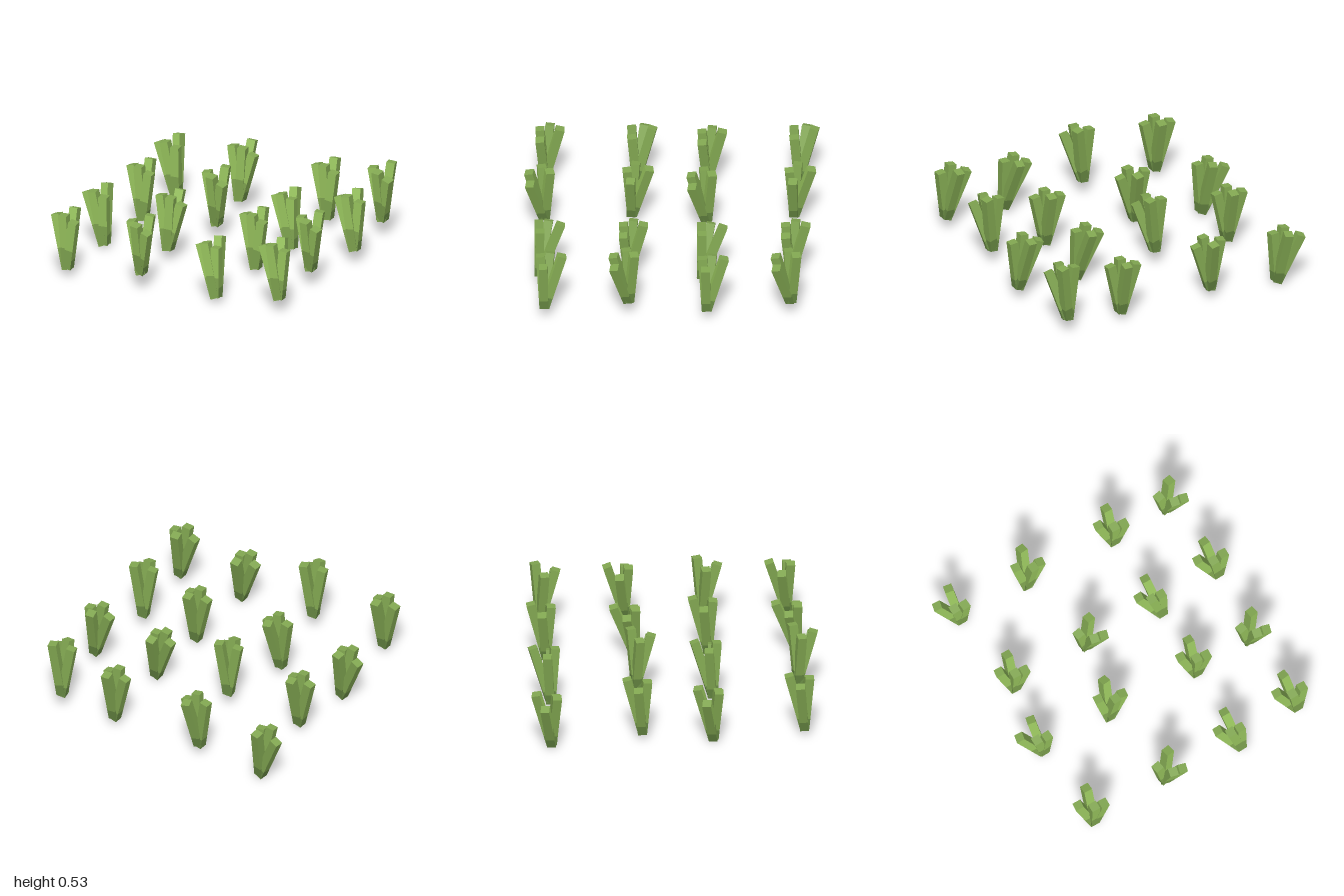
import * as THREE from 'three';

const STALK_WIDTH = 0.06;
const BANDS = 5; // colour bands along a stalk

// distance from the root point to the lower end and to the tip of each stalk
const STALKS = [
  { name: 'backStalk', start: 0.012, tip: 0.425 },
  { name: 'leftStalk', start: 0, tip: 0.39 },
  { name: 'frontStalk', start: 0.012, tip: 0.4 },
  { name: 'rightStalk', start: 0.012, tip: 0.365 },
];

// how far each tip leans from the root, and its twist [x, z, twist], in the order of STALKS
const LEANS = {
  leftBack: [[-0.035, -0.11, -0.22], [-0.155, -0.057, -0.2], [-0.07, 0.032, 0], [0.01, 0.032, 0.08]],
  right: [[0.035, -0.12, 0.14], [-0.065, -0.028, -0.12], [0.037, 0.032, 0.08], [0.105, 0.008, -0.1]],
  upright: [[0.004, -0.105, 0], [-0.1, -0.035, -0.1], [-0.014, 0.034, 0], [0.062, 0.034, 0]],
  forward: [[0.052, -0.035, 0.2], [-0.062, 0.02, 0.15], [0.013, 0.105, -0.18], [0.09, 0.1, -0.2]],
  back: [[-0.045, -0.148, -0.05], [-0.145, -0.065, -0.1], [-0.08, 0, 0], [-0.003, -0.006, 0]],
  left: [[-0.037, -0.122, 0.08], [-0.135, -0.042, -0.1], [-0.05, 0.025, 0], [0.04, 0.005, 0]],
};

// root position x, y, z and lean of each clump in one double row
const ROWS = [
  { shiftX: 0, clumps: [
    [-0.77, 0.015, -0.86, 'leftBack'], [-0.275, 0.07, -0.83, 'right'],
    [0.4, 0.05, -0.81, 'upright'], [0.81, 0.105, -0.815, 'forward']] },
  { shiftX: -0.027, clumps: [
    [-0.715, 0.05, -0.24, 'upright'], [-0.16, 0.105, -0.24, 'forward'],
    [0.425, 0.033, -0.205, 'back'], [0.885, 0.085, -0.24, 'left']] },
];
const ROW_REPEAT = 1.1;

// Square stalk: dark root on the sides and back, light upper front
function makeStalkGeometry(start, tip) {
  const geometry = new THREE.BoxGeometry(STALK_WIDTH, tip - start, STALK_WIDTH, 1, BANDS, 1);
  geometry.translate(0, (start + tip) / 2, 0);
  const [right, left, top, bottom, front, back] = geometry.groups.map((g) => g.start);
  const band = 6;
  const side = BANDS * band;
  geometry.clearGroups();
  for (const face of [right, left, back]) {
    geometry.addGroup(face, side - band, 0);
    geometry.addGroup(face + side - band, band, 2);
  }
  geometry.addGroup(top, band, 0);
  geometry.addGroup(bottom, band, 2);
  geometry.addGroup(front, 3 * band, 1);
  geometry.addGroup(front + 3 * band, 2 * band, 0);
  return geometry;
}

function makeStalk({ name, start, tip }, [dx, dz, twist], materials) {
  const geometry = makeStalkGeometry(start, tip);
  geometry.rotateY(twist);
  const stalk = new THREE.Mesh(geometry, materials);
  const rise = Math.sqrt(tip * tip - dx * dx - dz * dz);
  stalk.quaternion.setFromUnitVectors(
    new THREE.Vector3(0, 1, 0), new THREE.Vector3(dx, rise, dz).normalize());
  stalk.name = name;
  return stalk;
}

function makeClump(lean, materials) {
  const clump = new THREE.Group();
  clump.name = 'plantClump';
  STALKS.forEach((stalk, i) => clump.add(makeStalk(stalk, LEANS[lean][i], materials)));
  return clump;
}

function makeMaterial(name, color) {
  const material = new THREE.MeshStandardMaterial({ color });
  material.name = name;
  return material;
}

export function createModel() {
  const model = new THREE.Group();
  model.name = 'cropField';
  const materials = [
    makeMaterial('leafGreen', 0x80a550),
    makeMaterial('lightGreen', 0x98c45e),
    makeMaterial('rootGreen', 0x668742),
  ];

  // the double row of clumps is planted twice
  for (let repeat = 0; repeat < 2; repeat++) {
    for (const { shiftX, clumps } of ROWS) {
      const row = new THREE.Group();
      row.name = 'plantRow';
      row.position.set(shiftX * repeat, 0, ROW_REPEAT * repeat);
      for (const [x, y, z, lean] of clumps) {
        const clump = makeClump(lean, materials);
        clump.position.set(x, y, z);
        row.add(clump);
      }
      model.add(row);
    }
  }
  return model;
}
